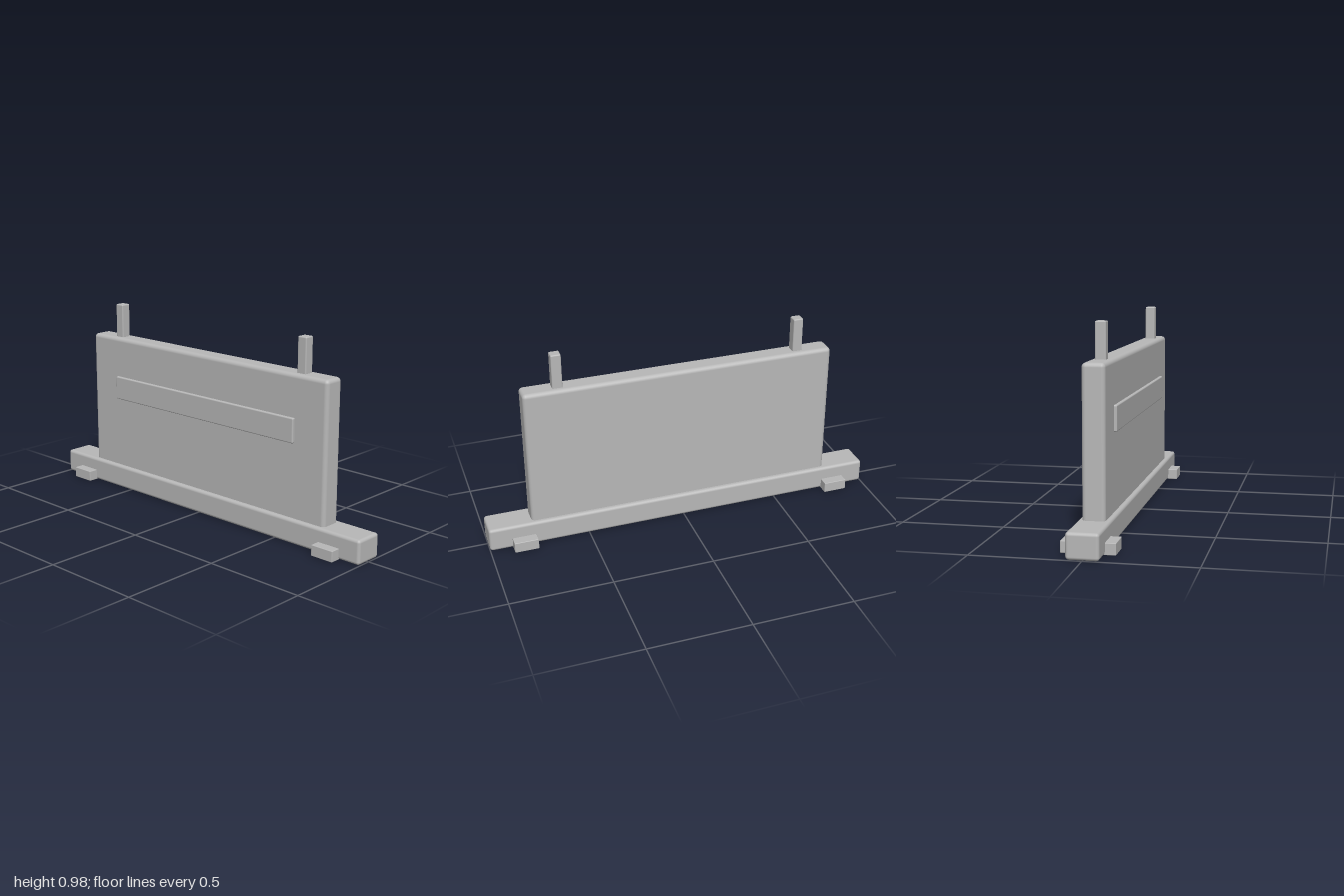
import * as THREE from 'three';
import { RoundedBoxGeometry } from 'three/addons/geometries/RoundedBoxGeometry.js';

export function createModel() {
  const model = new THREE.Group();
  const grey = new THREE.MeshStandardMaterial({ color: 0xb8b8b8 });
  grey.name = 'grey';

  // Rounded block given its size, centre and edge radius
  function block(name, [w, h, d], [x, y, z], radius) {
    const mesh = new THREE.Mesh(new RoundedBoxGeometry(w, h, d, 3, radius), grey);
    mesh.name = name;
    mesh.position.set(x, y, z);
    model.add(mesh);
  }

  // Long base beam and upright panel
  block('base', [2, 0.12, 0.148], [0, 0.06, 0], 0.015);
  block('panel', [1.566, 0.71, 0.106], [0, 0.455, 0], 0.02);

  // Raised strip on the front of the panel
  block('frontStrip', [1.2, 0.12, 0.03], [0, 0.545, 0.052], 0.006);

  // Cross feet and top posts, mirrored
  for (const [side, s] of [['right', -1], ['left', 1]]) {
    block(side + 'Foot', [0.12, 0.054, 0.246], [s * 0.828, 0.027, 0], 0.003);
    block(side + 'Post', [0.05, 0.23, 0.05], [s * 0.61, 0.865, 0], 0.006);
  }
  return model;
}
